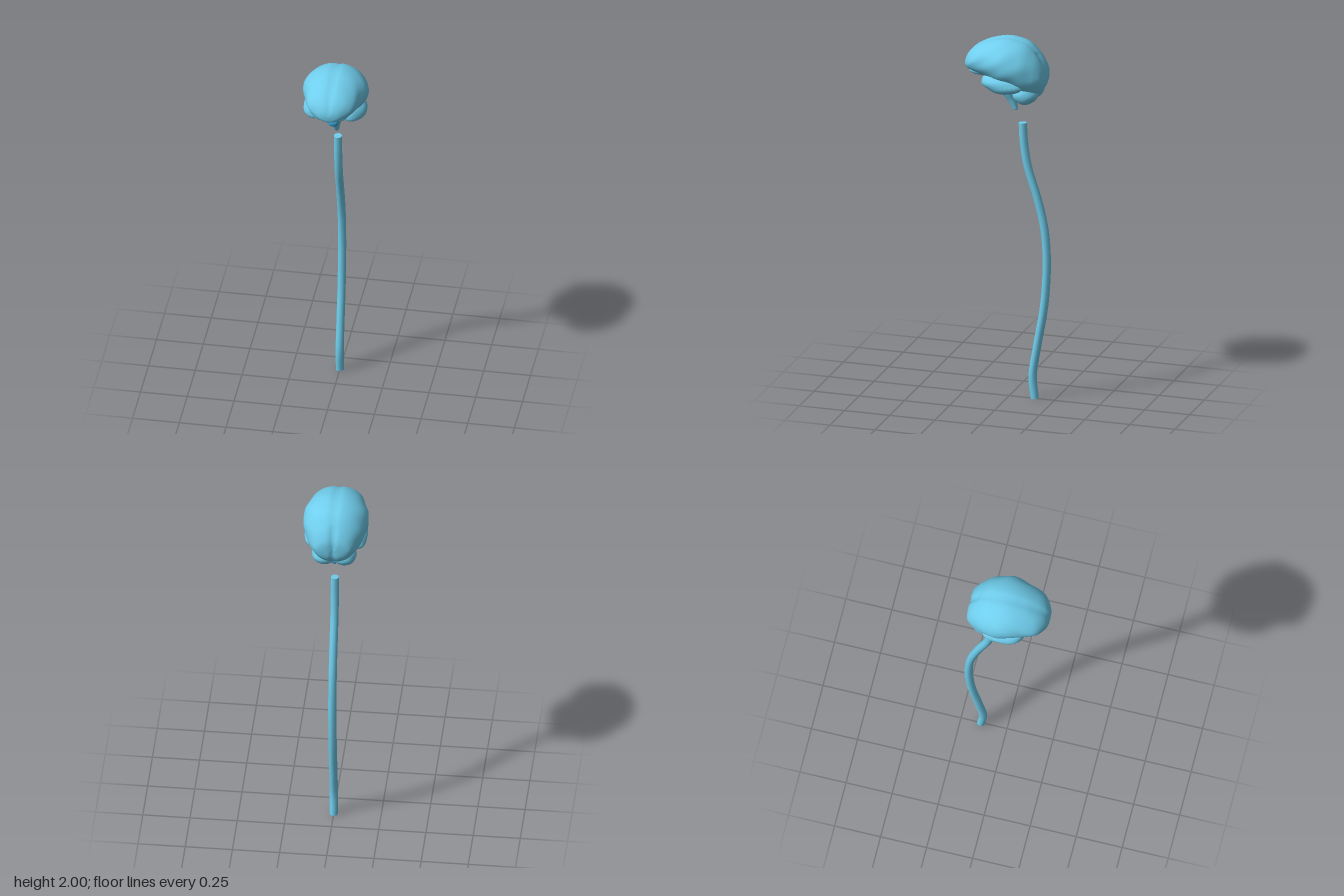
import * as THREE from 'three';

const blue = new THREE.MeshStandardMaterial({ color: 0x6fcdec });
const darkBlue = new THREE.MeshStandardMaterial({ color: 0x2f9fd0 });

function add(group, name, geometry, material = blue) {
  const mesh = new THREE.Mesh(geometry, material);
  mesh.name = name;
  group.add(mesh);
  return mesh;
}

// Ellipsoid with gentle folds on its surface
function lobe(rx, ry, rz, bump = 0) {
  const g = new THREE.SphereGeometry(1, 28, 20);
  const p = g.attributes.position;
  for (let i = 0; i < p.count; i++) {
    const x = p.getX(i), y = p.getY(i), z = p.getZ(i);
    const k = 1 + bump * Math.sin(5 * z + 2 * y) * Math.cos(4 * y - x);
    p.setXYZ(i, x * k * rx, y * k * ry, z * k * rz);
  }
  const n = g.attributes.normal;
  g.computeVertexNormals();
  // Weld the normals along the seam
  for (let r = 0; r <= 20; r++) {
    const a = r * 29, b = a + 28;
    const v = new THREE.Vector3().fromBufferAttribute(n, a)
      .add(new THREE.Vector3().fromBufferAttribute(n, b)).normalize();
    n.setXYZ(a, v.x, v.y, v.z);
    n.setXYZ(b, v.x, v.y, v.z);
  }
  return g;
}

// Cerebrum: cross-sections from back to front [z, half width, top, bottom]
function cerebrumGeometry() {
  const rows = [
    [-0.205, 0, 1.80, 1.80], [-0.2, 0.075, 1.85, 1.75], [-0.18, 0.105, 1.895, 1.715],
    [-0.15, 0.128, 1.935, 1.70], [-0.1, 0.156, 1.978, 1.71], [-0.03, 0.171, 1.998, 1.735],
    [0.03, 0.167, 1.998, 1.75], [0.1, 0.147, 1.982, 1.775], [0.15, 0.132, 1.96, 1.795],
    [0.185, 0.113, 1.938, 1.805], [0.212, 0.08, 1.912, 1.81], [0.23, 0.045, 1.88, 1.82],
    [0.235, 0, 1.85, 1.85],
  ];
  const widths = new THREE.CatmullRomCurve3(rows.map(r => new THREE.Vector3(r[0], r[1], 0)), false, 'catmullrom');
  const heights = new THREE.CatmullRomCurve3(rows.map(r => new THREE.Vector3(r[0], r[2], r[3])), false, 'catmullrom');
  const steps = 48, sides = 48, pos = [], index = [];
  for (let i = 0; i <= steps; i++) {
    const w = widths.getPoint(i / steps), h = heights.getPoint(i / steps);
    const mid = (h.y + h.z) / 2, half = (h.y - h.z) / 2;
    for (let j = 0; j < sides; j++) {
      const a = j / sides * Math.PI * 2, c = Math.cos(a), s = Math.sin(a);
      const fold = 1 + 0.018 * Math.sin(w.x * 38 + 3 * s) * Math.sin(5 * s + w.x * 12) * Math.abs(c);
      const x = c * w.y * fold;
      // Midline groove between the two hemispheres
      const groove = Math.exp(-((x / 0.016) ** 2));
      const y = mid + s * half * fold - (s > 0.3 ? 0.008 * groove : 0);
      const z = w.x + (w.x < -0.15 ? 0.008 * groove : 0);
      pos.push(x, y, z);
      if (i < steps) {
        const k = (j + 1) % sides, o = i * sides;
        index.push(o + j, o + k, o + sides + j, o + k, o + sides + k, o + sides + j);
      }
    }
  }
  const g = new THREE.BufferGeometry();
  g.setAttribute('position', new THREE.Float32BufferAttribute(pos, 3));
  g.setIndex(index);
  g.computeVertexNormals();
  return g;
}

// Tube with closed ends
function cord(points, radius, steps, sides) {
  const group = new THREE.Group();
  const curve = new THREE.CatmullRomCurve3(points.map(([y, z]) => new THREE.Vector3(0, y, z)));
  add(group, 'cordBody', new THREE.TubeGeometry(curve, steps, radius, sides));
  for (const t of [0, 1]) {
    const cap = add(group, t ? 'cordLowerEnd' : 'cordUpperEnd', new THREE.CircleGeometry(radius, sides));
    const end = curve.getPoint(t);
    cap.position.copy(end);
    cap.lookAt(end.clone().addScaledVector(curve.getTangent(t), t ? 1 : -1));
  }
  return group;
}

export function createModel() {
  const model = new THREE.Group();
  model.name = 'brainAndSpinalCord';

  const brain = new THREE.Group();
  brain.name = 'brain';
  model.add(brain);
  add(brain, 'cerebrum', cerebrumGeometry());

  // Paired lobes
  for (const [side, s] of [['left', 1], ['right', -1]]) {
    const temporal = add(brain, side + 'TemporalLobe', lobe(0.063, 0.05, 0.115, 0.05));
    temporal.position.set(s * 0.104, 1.77, 0.012);
    temporal.rotation.set(-0.12, -s * 0.12, 0);
    const cerebellum = add(brain, side + 'Cerebellum', lobe(0.066, 0.055, 0.068, 0.03));
    cerebellum.position.set(s * 0.052, 1.71, -0.105);
    const orbital = add(brain, side + 'OrbitalLobe', lobe(0.045, 0.025, 0.075));
    orbital.position.set(s * 0.05, 1.82, 0.13);
  }

  // Core and tapering brain stem
  add(brain, 'midbrain', lobe(0.075, 0.06, 0.085)).position.set(0, 1.765, 0.01);
  const stemProfile = [[0, -0.09], [0.013, -0.09], [0.017, -0.07], [0.025, -0.03], [0.037, 0.01],
    [0.042, 0.045], [0.03, 0.08], [0, 0.09]].map(([r, y]) => new THREE.Vector2(r, y));
  const stem = add(brain, 'brainStem', new THREE.LatheGeometry(new THREE.SplineCurve(stemProfile).getPoints(28), 20));
  stem.position.set(0, 1.686, -0.005);
  stem.rotation.x = 0.36;

  // Small glands and nodules on the midline
  add(brain, 'pituitaryStalk', new THREE.CylinderGeometry(0.008, 0.008, 0.06, 12), darkBlue).position.set(0, 1.735, 0.075);
  add(brain, 'pituitaryGland', lobe(0.026, 0.02, 0.017), darkBlue).position.set(0, 1.712, 0.075);
  add(brain, 'opticChiasm', lobe(0.028, 0.016, 0.02), darkBlue).position.set(0, 1.757, 0.09);
  add(brain, 'cerebellarNodule', lobe(0.024, 0.02, 0.025), darkBlue).position.set(0, 1.659, -0.088);

  // Spinal cord following the S-curve of the spine
  const spine = cord([[1.532, -0.075], [1.42, -0.082], [1.29, -0.103], [1.105, -0.16], [0.945, -0.196],
    [0.785, -0.208], [0.64, -0.204], [0.495, -0.19], [0.283, -0.153], [0.125, -0.13], [0.004, -0.141]], 0.022, 60, 10);
  spine.name = 'spinalCord';
  model.add(spine);
  return model;
}
